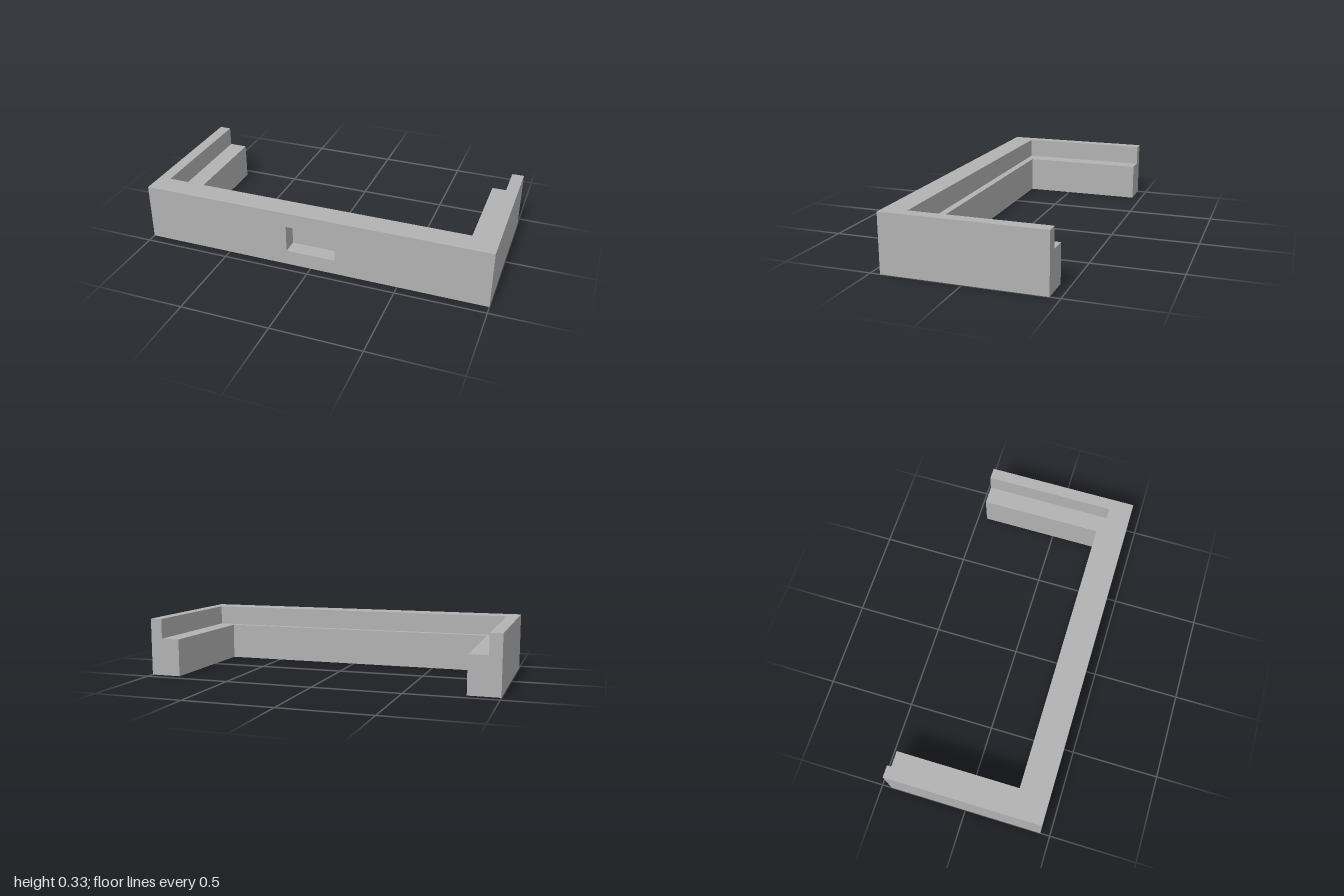
import * as THREE from 'three';

const HALF_X = 1, HALF_Z = 0.445, HEIGHT = 0.327;
const LEDGE_Y = 0.213;      // height of the inner step
const POCKET_DEPTH = 0.09;

const points = (list) => list.map(([x, y]) => new THREE.Vector2(x, y));

// Horizontal U, open at the back, extruded upwards from y0 to y1
function uLayer(innerX, innerZ, frontZ, y0, y1) {
  const shape = new THREE.Shape(points([
    [-HALF_X, -frontZ], [HALF_X, -frontZ], [HALF_X, HALF_Z], [innerX, HALF_Z],
    [innerX, -innerZ], [-innerX, -innerZ], [-innerX, HALF_Z], [-HALF_X, HALF_Z],
  ]));
  const geometry = new THREE.ExtrudeGeometry(shape, { depth: y1 - y0, bevelEnabled: false });
  return geometry.rotateX(-Math.PI / 2).translate(0, y0, 0);
}

// Front slab pierced by the rectangular pocket opening
function frontSlab() {
  const shape = new THREE.Shape(points([
    [-HALF_X, 0], [HALF_X, 0], [HALF_X, HEIGHT], [-HALF_X, HEIGHT],
  ]));
  shape.holes.push(new THREE.Path(points([
    [-0.142, 0.087], [-0.142, 0.242], [0.142, 0.242], [0.142, 0.087],
  ])));
  const geometry = new THREE.ExtrudeGeometry(shape, { depth: POCKET_DEPTH, bevelEnabled: false });
  return geometry.translate(0, 0, HALF_Z - POCKET_DEPTH);
}

export function createModel() {
  const group = new THREE.Group();
  group.name = 'bracketFrame';
  const grey = new THREE.MeshStandardMaterial({ color: 0xb2b2b2 });
  grey.name = 'grey';

  const add = (name, geometry) => {
    const mesh = new THREE.Mesh(geometry, grey);
    mesh.name = name;
    group.add(mesh);
  };

  const pocketBack = HALF_Z - POCKET_DEPTH;
  add('lowerFrameWithLedge', uLayer(0.825, 0.27, pocketBack, 0, LEDGE_Y));
  add('upperRim', uLayer(0.932, 0.312, pocketBack, LEDGE_Y, HEIGHT));
  add('frontPlateWithPocket', frontSlab());
  return group;
}
